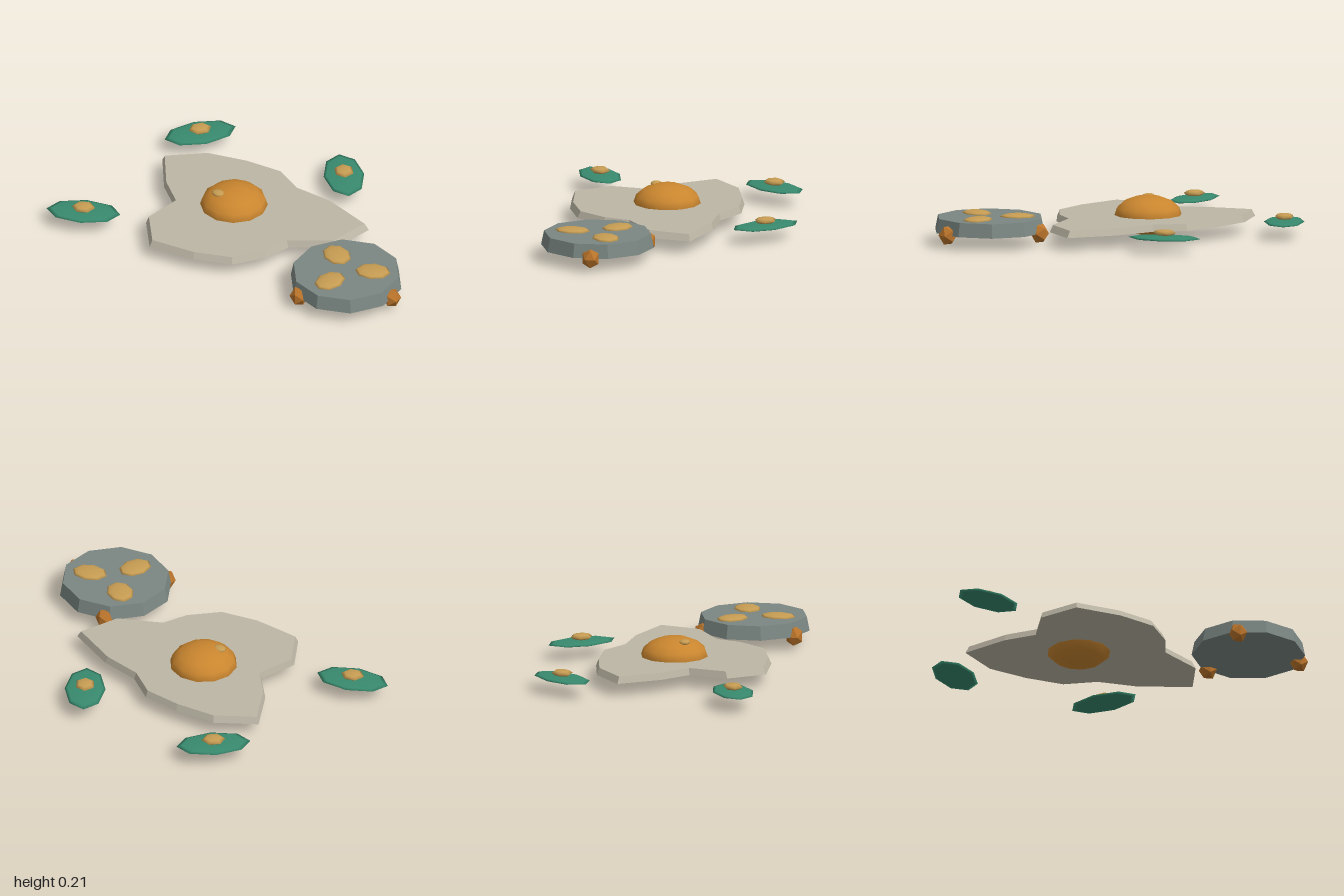
import * as THREE from 'three';

const paint = (name, color) => {
  const m = new THREE.MeshStandardMaterial({ color });
  m.name = name;
  return m;
};

export function createModel() {
  const model = new THREE.Group();
  model.name = 'lilyPlatter';
  const stone = paint('palestone', 0xbcb6a5);
  const amber = paint('amber', 0xca862f);
  const tan = paint('tan', 0xc69c52);
  const slate = paint('slate', 0x7b8783);
  const green = paint('leafGreen', 0x388a6e);
  const rust = paint('rust', 0xba742a);

  const add = (name, geometry, material, x, y, z) => {
    const mesh = new THREE.Mesh(geometry, material);
    mesh.name = name;
    mesh.position.set(x, y, z);
    model.add(mesh);
    return mesh;
  };
  // Flattened low-poly ball, its long side turned towards (dx, dz)
  const blob = (name, material, [x, y, z], [rx, ry, rz], [dx, dz], w, h) => {
    const g = new THREE.SphereGeometry(1, w, h).scale(rx, ry, rz);
    add(name, g, material, x, y, z).rotation.y = Math.atan2(-dz, dx);
  };

  // Three-lobed slab, slightly narrower at the top
  const cx = -0.17, cz = 0.075;
  const outline = [
    [-0.73, -0.12], [-0.545, -0.265], [-0.326, -0.312], [-0.12, -0.322],
    [0.04, -0.235], [0.257, -0.222], [0.53, -0.134], [0.47, 0.09],
    [0.257, 0.224], [0.21, 0.365], [0.09, 0.514], [-0.11, 0.58],
    [-0.364, 0.6], [-0.497, 0.42], [-0.455, 0.21], [-0.59, 0.09],
  ].map(([x, z]) => new THREE.Vector2(x - cx, z - cz));
  const slab = new THREE.ExtrudeGeometry(new THREE.Shape(outline), { depth: 0.036, bevelEnabled: false });
  slab.rotateX(Math.PI / 2);
  const p = slab.attributes.position;
  for (let i = 0; i < p.count; i++) {
    if (p.getY(i) > -0.01) p.setXYZ(i, p.getX(i) * 0.968, p.getY(i), p.getZ(i) * 0.968);
  }
  slab.computeVertexNormals();
  add('lobedSlab', slab, stone, cx, 0.106, cz);

  // Central dome through the slab, with a small spot on it
  blob('dome', amber, [cx, 0.104, cz], [0.178, 0.104, 0.178], [1, 0], 12, 8);
  blob('domeSpot', tan, [-0.225, 0.192, 0.14], [0.038, 0.014, 0.03], [1, 0], 8, 6);

  // Three leaves, each with a seed on top
  const leaves = [
    [-0.685, -0.423, 23.5, -28],
    [0.16, -0.485, -24, -29.5],
    [-0.823, 0.514, 33, -14],
  ];
  for (const [x, z, dx, dz] of leaves) {
    blob('leaf', green, [x, 0.079, z], [0.195, 0.011, 0.107], [dx, dz], 8, 6);
    blob('leafSeed', tan, [x, 0.107, z], [0.062, 0.017, 0.053], [dx, dz], 6, 4);
  }

  // Ten-sided drum
  const hx = 0.678, hz = 0.333;
  const drum = new THREE.CylinderGeometry(0.282, 0.297, 0.074, 10).toNonIndexed();
  drum.computeVertexNormals();
  add('drum', drum, slate, hx, 0.107, hz);

  // Oval pads on the drum, pointing outwards
  for (const [x, z] of [[0.565, 0.242], [0.805, 0.273], [0.66, 0.466]]) {
    blob('drumPad', tan, [x, 0.144, z], [0.094, 0.017, 0.071], [x - 0.678, z - 0.32], 8, 6);
  }

  // Berries round the drum's rim
  for (let i = 0; i < 3; i++) {
    const a = (i * Math.PI * 2) / 3;
    const berry = new THREE.IcosahedronGeometry(0.049, 0).scale(1, 1.12, 1);
    berry.computeVertexNormals();
    add('berry', berry, rust, hx + 0.28 * Math.cos(a), 0.07, hz + 0.28 * Math.sin(a));
  }
  return model;
}
